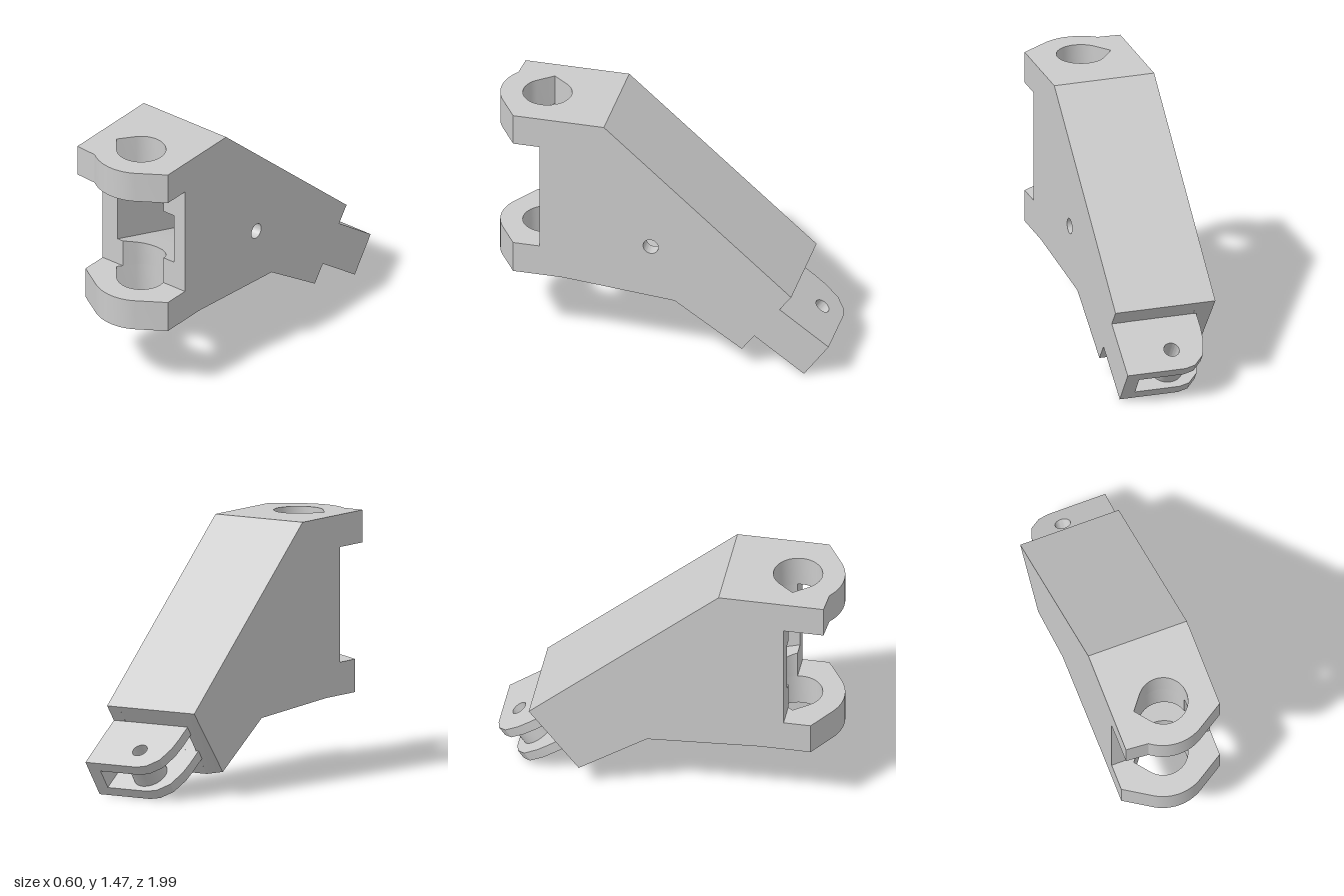
import * as THREE from 'three';
import { toCreasedNormals } from 'three/addons/utils/BufferGeometryUtils.js';

const material = new THREE.MeshStandardMaterial({ color: 0xcccccc });

const V = (pts) => pts.map(([a, b]) => new THREE.Vector2(a, b));
const flipFirst = (pts) => pts.map(([z, y]) => [-z, y]);
const flipSecond = (pts) => pts.map(([x, z]) => [x, -z]);

// Points on an arc, angles in degrees
function arc(cx, cy, r, from, to, n) {
  return Array.from({ length: n + 1 }, (_, i) => {
    const a = THREE.MathUtils.degToRad(from + ((to - from) * i) / n);
    return [cx + r * Math.cos(a), cy + r * Math.sin(a)];
  });
}

const circle = (cx, cy, r) => arc(cx, cy, r, 0, 350, 35);

// The outline is made anticlockwise so that hole walls face into the hole
function extrude(outline, holes, depth) {
  const points = V(outline);
  if (THREE.ShapeUtils.isClockWise(points)) points.reverse();
  const shape = new THREE.Shape(points);
  for (const h of holes) shape.holes.push(new THREE.Path(V(h)));
  const g = new THREE.ExtrudeGeometry(shape, { depth, bevelEnabled: false });
  return toCreasedNormals(g, 0.4);
}

// (z, y) outline extruded across the width from x0 to x1
function sideways(outline, x0, x1, holes = []) {
  return extrude(flipFirst(outline), holes.map(flipFirst), x1 - x0)
    .rotateY(Math.PI / 2).translate(x0, 0, 0);
}

// (x, z) outline extruded upwards from y0 to y1
function upright(outline, y0, y1, holes = []) {
  return extrude(flipSecond(outline), holes.map(flipSecond), y1 - y0)
    .rotateX(-Math.PI / 2).translate(0, y0, 0);
}

// Move vertices by a rule that edits each point
function reshape(g, rule) {
  const p = g.attributes.position;
  const v = new THREE.Vector3();
  for (let i = 0; i < p.count; i++) {
    rule(v.fromBufferAttribute(p, i));
    p.setXYZ(i, v.x, v.y, v.z);
  }
  return toCreasedNormals(g, 0.4);
}

export function createModel() {
  const model = new THREE.Group();
  model.name = 'hingeLink';
  const add = (name, geometry, parent = model) => {
    const mesh = new THREE.Mesh(geometry, material);
    mesh.name = name;
    parent.add(mesh);
  };

  const LEFT = 0.22, RIGHT = -0.19, HALF = 0.3, FRONT = 0.697, SPLIT = 0.56;
  const TOP = 1.475, BASE = 0.435, SLOPE = 0.3;
  const ceiling = 1.1 + (SPLIT - FRONT) * SLOPE;
  const floor = 0.79 + (SPLIT - FRONT) * SLOPE;

  // Solid cheeks on either side of the inner channel
  const cheek = [[FRONT, TOP], [0.32, TOP], [-0.78, 0.5], [-0.49, 0.113],
    [-0.095, 0.377], [SPLIT, BASE], [FRONT, BASE]];
  add('leftCheek', sideways(cheek, LEFT, HALF, [circle(0.045, 0.718, 0.045)]));
  add('rightCheek', reshape(sideways(cheek, -HALF, RIGHT), (v) => {
    if (v.x < -0.29 && v.y < 0.4) v.y += 0.02;
  }));

  // Core above and below the channel, which bends towards the tail
  add('upperCore', sideways([[SPLIT, TOP], [0.32, TOP], [-0.78, 0.5], [-0.674, 0.361],
    [-0.1, 0.86], [SPLIT, ceiling]], RIGHT, LEFT));
  add('lowerCore', sideways([[SPLIT, floor], [-0.05, 0.57], [-0.6, 0.259], [-0.49, 0.113],
    [-0.095, 0.377], [SPLIT, BASE]], RIGHT, LEFT));

  // Wedge that narrows the channel towards its inner end
  add('channelTaper', reshape(sideways([[FRONT, 1.1], [-0.1, 0.86], [-0.3, 0.686],
    [-0.3, 0.429], [-0.05, 0.57], [FRONT, 0.79]], RIGHT - 0.01, -0.14), (v) => {
    if (v.z > 0.5) v.x = Math.min(v.x, RIGHT);
  }));

  // Teardrop bore for the upright hinge pin
  const bore = [[-0.175, 0.725], ...arc(0.004, 0.725, 0.141, -141, 141, 36)];

  // Hinge lugs: the upper has a squared right corner, the lower is rounded on both sides
  const lugBack = [[-HALF, FRONT], [RIGHT, FRONT], [RIGHT, SPLIT], [LEFT, SPLIT],
    [LEFT, FRONT], [HALF, FRONT], [HALF, 0.853]];
  const upperLug = [...lugBack, ...arc(0, 0.725, 0.27, 56, 128, 16), [-HALF, 0.928]];
  const lowerLug = [...lugBack, ...arc(0, 0.725, 0.27, 56, 124, 16), [-HALF, 0.853]];
  add('lowerLug', upright(lowerLug, BASE, 0.625, [bore]));
  add('upperLug', upright(upperLug, 1.288, TOP, [bore]));

  // Half-bored blocks between the lugs, sloped to meet the channel
  const notch = bore.slice(1).filter(([, z]) => z < FRONT - 0.005);
  const block = [[RIGHT, SPLIT], [RIGHT, FRONT], [-0.153, FRONT], ...notch,
    [0.142, FRONT], [LEFT, FRONT], [LEFT, SPLIT]];
  add('lowerBlock', reshape(upright(block, 0.625, 0.79), (v) => {
    if (v.y > 0.7) v.y += (v.z - FRONT) * SLOPE;
  }));
  add('upperBlock', reshape(upright(block, 1.1, 1.288), (v) => {
    if (v.y < 1.2) v.y += (v.z - FRONT) * SLOPE;
  }));

  // Tail fork, built flat and then tilted along the arm
  const tail = new THREE.Group();
  tail.name = 'tailFork';
  tail.position.set(0, 0.21, -0.565);
  tail.rotation.x = Math.atan2(-0.81, -0.585);
  model.add(tail);

  const THICK = 0.247, PLATE = 0.06, GAP = THICK - 2 * PLATE, TIP = 0.358;
  const pin = circle(0, 0.222, 0.045);
  const plate = [[HALF, -0.01], [HALF, TIP], [-0.05, TIP], [-0.11, 0.342], [-0.17, 0.284],
    [-0.2, 0.185], [-0.207, 0.1], [-0.207, -0.01]];
  for (const [name, z] of [['lowerPlate', 0], ['upperPlate', THICK - PLATE]]) {
    add(name, extrude(plate, [pin], PLATE).translate(0, 0, z), tail);
  }
  add('forkWall', extrude([[LEFT, -0.01], [HALF, -0.01], [HALF, TIP], [LEFT, TIP]], [], GAP)
    .translate(0, 0, PLATE), tail);
  add('pinBoss', extrude(circle(0, 0.222, 0.1), [pin], GAP).translate(0, 0, PLATE), tail);

  return model;
}
